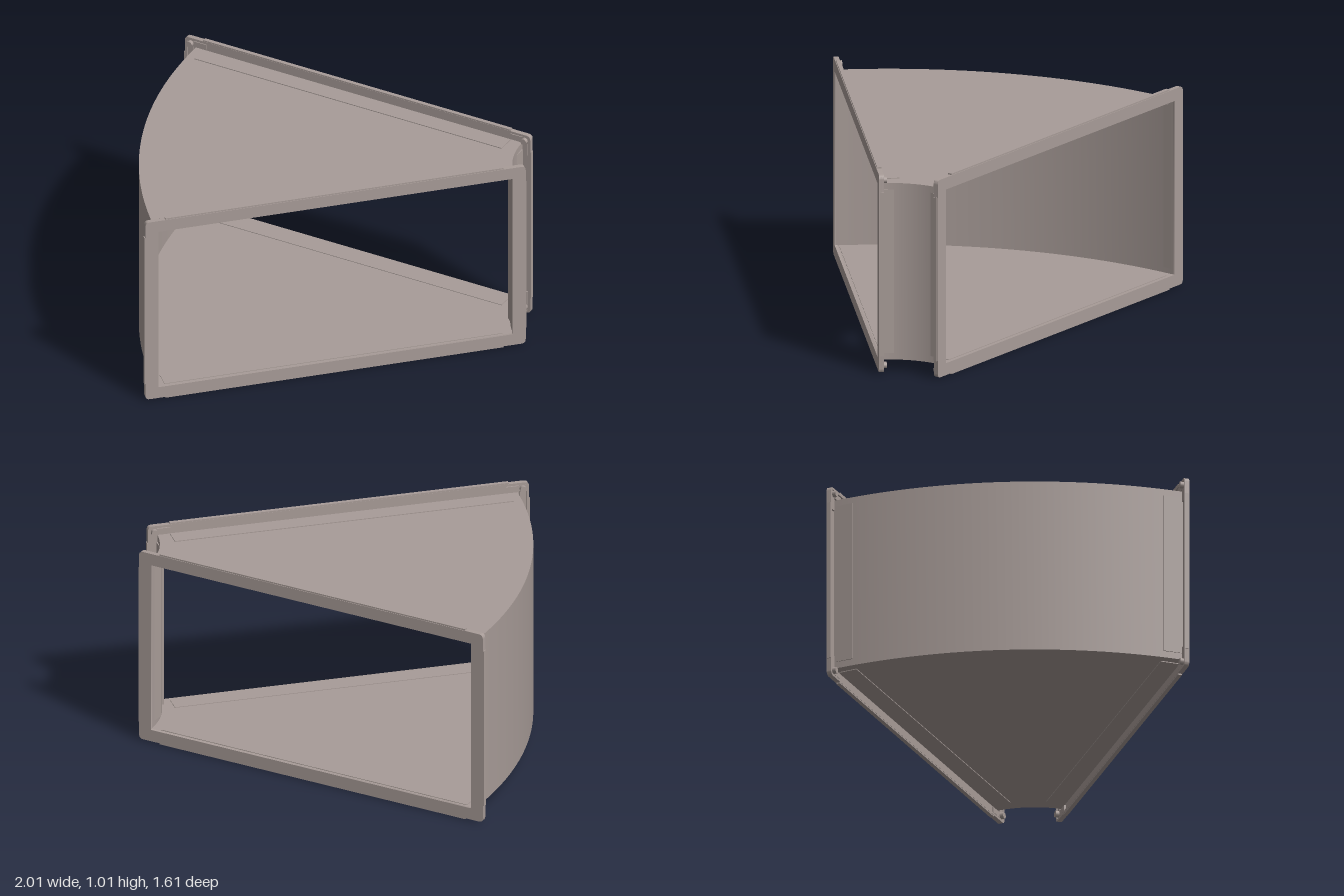
import * as THREE from 'three';
import { toCreasedNormals } from 'three/addons/utils/BufferGeometryUtils.js';

// Bend axis position, duct radii and half heights
const AXIS_X = 1.27, AXIS_Z = 0.8, MID_Y = 0.503;
const R_IN = 0.43, R_OUT = 2.215, DUCT_H = 0.443, WALL = 0.01;
const F_IN = 0.38, F_OUT = 2.27, FLANGE_H = 0.496;

const sheetMetal = new THREE.MeshStandardMaterial({ color: 0xa89c98 });
sheetMetal.name = 'sheetMetal';

function addMesh(parent, name, geometry) {
  const mesh = new THREE.Mesh(geometry, sheetMetal);
  mesh.name = name;
  parent.add(mesh);
  return mesh;
}

function addBox(parent, name, w, h, d, x, y, z) {
  addMesh(parent, name, new THREE.BoxGeometry(w, h, d)).position.set(x, y, z);
}

// 45 degree ring sector around the bend axis, between two heights
function sector(r0, r1, y0, y1) {
  const a0 = Math.PI * 0.75 + 0.002, a1 = Math.PI - 0.002;
  const shape = new THREE.Shape();
  shape.absarc(0, 0, r1, a0, a1, false);
  shape.absarc(0, 0, r0, a1, a0, true);
  const geo = new THREE.ExtrudeGeometry(shape, { depth: y1 - y0, bevelEnabled: false, curveSegments: 28 });
  geo.rotateX(-Math.PI / 2).translate(0, y0, 0);
  return toCreasedNormals(geo, 0.5);
}

function roundedRect(target, x0, x1, h, r) {
  target.moveTo(x0 + r, -h);
  target.lineTo(x1 - r, -h);
  target.quadraticCurveTo(x1, -h, x1, -h + r);
  target.lineTo(x1, h - r);
  target.quadraticCurveTo(x1, h, x1 - r, h);
  target.lineTo(x0 + r, h);
  target.quadraticCurveTo(x0, h, x0, h - r);
  target.lineTo(x0, -h + r);
  target.quadraticCurveTo(x0, -h, x0 + r, -h);
  return target;
}

// Rectangular frame with rounded outer corners, from z0 to z1
function frame(outer, inner, z0, z1) {
  const shape = roundedRect(new THREE.Shape(), ...outer);
  shape.holes.push(roundedRect(new THREE.Path(), ...inner));
  const geo = new THREE.ExtrudeGeometry(shape, { depth: z1 - z0, bevelEnabled: false, curveSegments: 5 });
  geo.translate(0, 0, z0);
  return toCreasedNormals(geo, 0.5);
}

// Connection flange: outer face at z = 0, duct running towards -z
function makeFlange(name) {
  const g = new THREE.Group();
  g.name = name;
  const outer = [-F_OUT, -F_IN, FLANGE_H, 0.022];
  addMesh(g, 'flangeFace', frame(outer, [-R_OUT + WALL, -R_IN - 0.015, DUCT_H - 0.007, 0.002], -0.013, 0));
  addMesh(g, 'flangeLip', frame(outer, [-F_OUT + 0.012, -F_IN - 0.012, FLANGE_H - 0.012, 0.01], -0.024, -0.013));

  const len = 1.68, mid = -1.33, high = 0.82;
  for (const s of [1, -1]) {
    // Legs lapped over the duct sheet, and thin cleats on the rim
    addBox(g, 'flangeLeg', len, 0.014, 0.09, mid, s * (DUCT_H - 0.003), -0.065);
    addBox(g, 'rimCleat', len, 0.007, 0.02, mid, s * (FLANGE_H + 0.0035), -0.013);
    const wallX = s > 0 ? -R_IN : -R_OUT + 0.004;
    addBox(g, 'flangeSideLeg', 0.014, high, 0.09, wallX, 0, -0.065);
    const rimX = s > 0 ? -F_IN : -F_OUT;
    addBox(g, 'rimSideCleat', 0.006, high, 0.02, rimX + s * 0.001, 0, -0.013);
    // Corner pieces with bolts behind the face
    for (const t of [1, -1]) {
      const cx = rimX - s * 0.031, cy = t * (FLANGE_H - 0.031);
      addBox(g, 'cornerArm', 0.1, 0.028, 0.008, rimX - s * 0.063, cy, -0.017);
      addBox(g, 'cornerUpright', 0.028, 0.1, 0.008, cx, t * (FLANGE_H - 0.063), -0.017);
      const bolt = addMesh(g, 'cornerBolt', new THREE.CylinderGeometry(0.016, 0.016, 0.026, 12));
      bolt.rotation.x = Math.PI / 2;
      bolt.position.set(cx, cy, -0.026);
    }
  }
  return g;
}

export function createModel() {
  const model = new THREE.Group();
  model.name = 'ductElbow';
  const elbow = new THREE.Group();
  elbow.name = 'elbow';
  elbow.position.set(AXIS_X, MID_Y, AXIS_Z);
  model.add(elbow);

  // Curved duct sheets
  addMesh(elbow, 'topSheet', sector(R_IN, R_OUT, DUCT_H - 0.007, DUCT_H));
  addMesh(elbow, 'bottomSheet', sector(R_IN, R_OUT, -DUCT_H, -DUCT_H + 0.007));
  addMesh(elbow, 'outerWall', sector(R_OUT - WALL, R_OUT, -DUCT_H, DUCT_H));
  addMesh(elbow, 'innerWall', sector(R_IN, R_IN + WALL, -DUCT_H, DUCT_H));

  // Front flange, and the same flange turned to the far end of the bend
  elbow.add(makeFlange('frontFlange'));
  const back = makeFlange('backFlange');
  back.rotation.set(Math.PI, -Math.PI / 4, 0, 'YXZ');
  elbow.add(back);
  return model;
}
